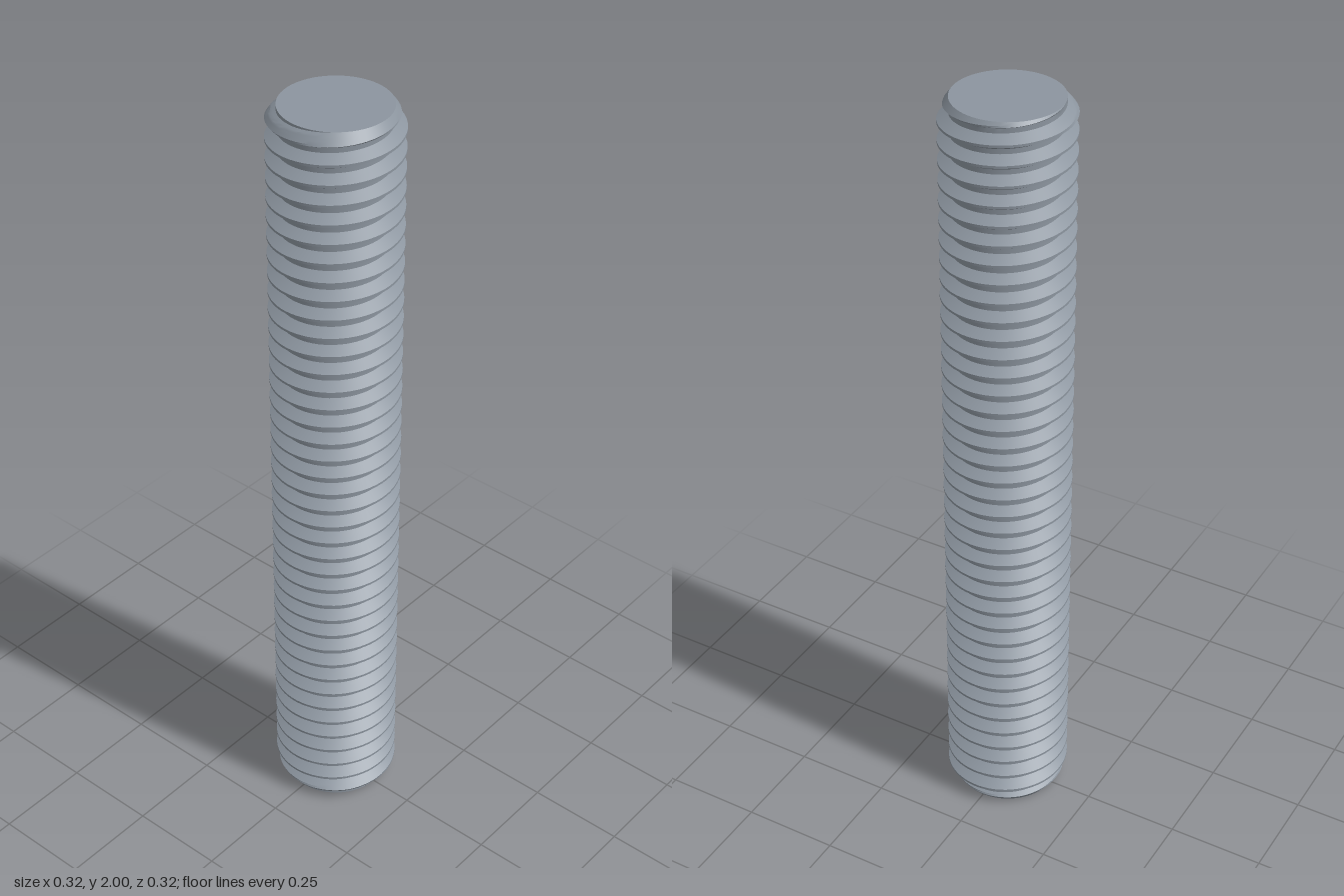
import * as THREE from 'three';
import { toCreasedNormals } from 'three/addons/utils/BufferGeometryUtils.js';

const LENGTH = 2, PITCH = 0.05, TURNS = LENGTH / PITCH;
const CREST_R = 0.16, ROOT_R = 0.133;
const CHAMFER = 0.75; // radius gained per unit of distance from either end
const PHASE = 0.038;  // height of a crest on the +x side
const SEGMENTS = 64, FLANK_STEPS = 4;

// One pitch of the 60 degree thread: [height, radius], from the crest's lower edge upwards
function threadProfile() {
  const crest = PITCH / 16, root = PITCH / 8, rows = [[-crest, CREST_R]];
  for (let i = 0; i < FLANK_STEPS; i++) {
    const t = i / FLANK_STEPS;
    rows.push([THREE.MathUtils.lerp(crest, PITCH / 2 - root, t), THREE.MathUtils.lerp(CREST_R, ROOT_R, t)]);
  }
  for (let i = 0; i < FLANK_STEPS; i++) {
    const t = i / FLANK_STEPS;
    rows.push([PITCH / 2 - root + 0, ROOT_R].map((v, k) => (i === 0 ? v : null) ?? (k === 0
      ? THREE.MathUtils.lerp(PITCH / 2 + root, PITCH - crest, (i - 1) / FLANK_STEPS)
      : THREE.MathUtils.lerp(ROOT_R, CREST_R, (i - 1) / FLANK_STEPS))));
    if (t === (FLANK_STEPS - 1) / FLANK_STEPS) {
      rows.push([THREE.MathUtils.lerp(PITCH / 2 + root, PITCH - crest, t), THREE.MathUtils.lerp(ROOT_R, CREST_R, t)]);
    }
  }
  return rows;
}

// Helical surface, trimmed by the flat ends and their chamfers
function threadGeometry() {
  const profile = threadProfile(), rows = [];
  for (let turn = -2; turn <= TURNS + 1; turn++) {
    for (const [h, r] of profile) rows.push([h + PHASE + turn * PITCH, r]);
  }
  const point = ([h, r], j) => {
    const a = (j / SEGMENTS) * Math.PI * 2;
    const y = THREE.MathUtils.clamp(h + (PITCH * j) / SEGMENTS, 0, LENGTH);
    const radius = Math.min(r, ROOT_R + CHAMFER * Math.min(y, LENGTH - y));
    return [radius * Math.cos(a), y, -radius * Math.sin(a)];
  };
  const positions = [];
  for (let i = 0; i < rows.length - 1; i++) {
    for (let j = 0; j < SEGMENTS; j++) {
      const a = point(rows[i], j), b = point(rows[i], j + 1);
      const c = point(rows[i + 1], j + 1), d = point(rows[i + 1], j);
      // Skip triangles that collapse beyond the ends
      if (b[1] !== c[1]) positions.push(...a, ...b, ...c);
      if (a[1] !== d[1]) positions.push(...a, ...c, ...d);
    }
  }
  const geometry = new THREE.BufferGeometry();
  geometry.setAttribute('position', new THREE.Float32BufferAttribute(positions, 3));
  return toCreasedNormals(geometry, THREE.MathUtils.degToRad(22));
}

export function createModel() {
  const group = new THREE.Group();
  group.name = 'threadedRod';
  const steel = new THREE.MeshStandardMaterial({ color: 0x8c959f });
  steel.name = 'steel';

  const thread = new THREE.Mesh(threadGeometry(), steel);
  thread.name = 'thread';
  group.add(thread);

  // Flat end faces
  for (const [name, y, tilt] of [['topFace', LENGTH, -Math.PI / 2], ['bottomFace', 0, Math.PI / 2]]) {
    const face = new THREE.Mesh(new THREE.CircleGeometry(ROOT_R, SEGMENTS), steel);
    face.name = name;
    face.position.y = y;
    face.rotation.x = tilt;
    group.add(face);
  }
  return group;
}
